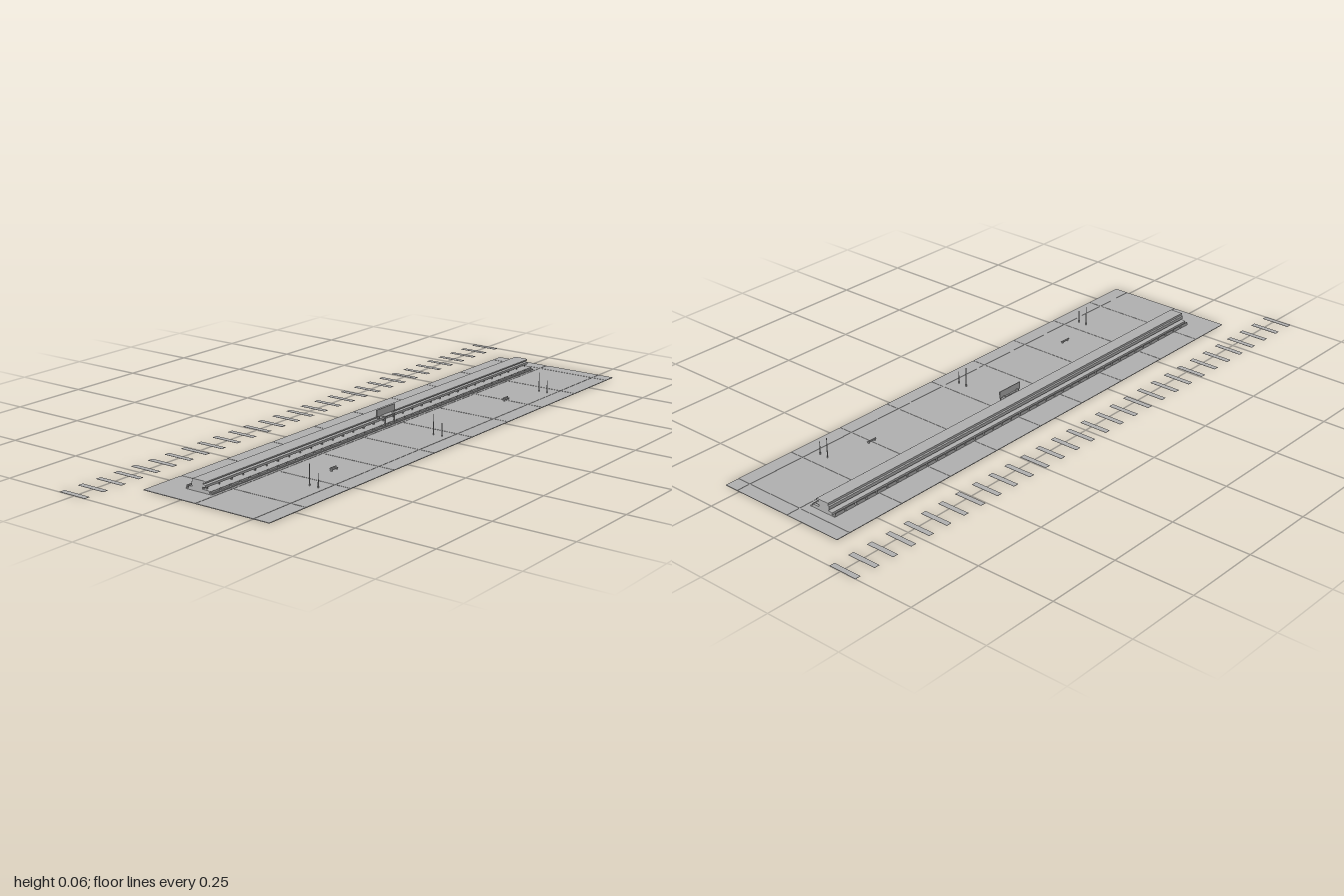
import * as THREE from 'three';

export function createModel() {
  const model = new THREE.Group();
  const concrete = new THREE.MeshStandardMaterial({ color: 0xb2b2b2 });
  concrete.name = 'light grey concrete';

  // Box given by its limits on each axis
  function box(name, x0, x1, y0, y1, z0, z1, parent = model) {
    const mesh = new THREE.Mesh(new THREE.BoxGeometry(x1 - x0, y1 - y0, z1 - z0), concrete);
    mesh.position.set((x0 + x1) / 2, (y0 + y1) / 2, (z0 + z1) / 2);
    mesh.name = name;
    parent.add(mesh);
    return mesh;
  }
  function group(name) {
    const g = new THREE.Group();
    g.name = name;
    model.add(g);
    return g;
  }

  // Plaza: a thin slab with paving fields separated by narrow seams
  box('plazaSlab', -0.855, 0.9, 0, 0.0012, -0.135, 0.305);
  const paving = group('pavingFields');
  const xs = [-0.855, -0.707, -0.516, -0.317, -0.123, 0.07, 0.265, 0.461, 0.656, 0.855, 0.9];
  const zs = [-0.135, 0.055, 0.255, 0.305];
  for (let i = 0; i < xs.length - 1; i++) {
    for (let j = 0; j < zs.length - 1; j++) {
      box('pavingField', xs[i] + (i ? 0.002 : 0), xs[i + 1] - (i < 9 ? 0.002 : 0), 0.0012, 0.002,
        zs[j] + (j ? 0.003 : 0), zs[j + 1] - (j < 2 ? 0.003 : 0), paving);
    }
  }

  // Row of flat strips behind the plaza
  const strips = group('groundStrips');
  for (let i = 0; i < 30; i++) {
    const x = -0.991 + i * 1.982 / 29;
    box('groundStrip', x - 0.009, x + 0.009, 0, 0.0008, -0.305, -0.21, strips);
  }

  // Long building: one stepped cross-section, z then y, run along x
  const left = -0.78, right = 0.825;
  box('buildingPlinth', left, right, 0.002, 0.005, -0.049, 0.044);
  const section = [
    [0.036, 0.004], [0.036, 0.010], [0.031, 0.012], [0.010, 0.012], [0.010, 0.018],
    [0.022, 0.018], [0.022, 0.025], [0.012, 0.027], [0.012, 0.030], [0.021, 0.030],
    [0.021, 0.034], [0.017, 0.036], [-0.025, 0.036], [-0.025, 0.029], [-0.029, 0.027],
    [-0.029, 0.017], [-0.025, 0.014], [-0.040, 0.012], [-0.040, 0.004],
  ];
  const shape = new THREE.Shape(section.map(([z, y]) => new THREE.Vector2(-z, y)));
  const hall = new THREE.Mesh(
    new THREE.ExtrudeGeometry(shape, { depth: right - left, bevelEnabled: false }), concrete);
  hall.rotation.y = Math.PI / 2;
  hall.position.x = left;
  hall.name = 'longBuilding';
  model.add(hall);

  // Columns under the front canopy
  const columns = group('canopyColumns');
  for (let i = 0; i <= 32; i++) {
    const x = left + 0.01 + i * (right - left - 0.02) / 32;
    box('column', x - 0.002, x + 0.002, 0.011, 0.019, 0.016, 0.019, columns);
  }

  // Low rails along the front and back edges, broken into short panels
  const rails = group('rails');
  for (let i = 0; i < 40; i++) {
    const x = left + i * (right - left) / 40;
    box('backRail', x + 0.003, x + 0.037, 0.002, 0.012, -0.0495, -0.0475, rails);
    box('frontRail', x + 0.003, x + 0.037, 0.002, 0.011, 0.0375, 0.0395, rails);
  }

  // Entrance portal and the board above it
  const entrance = group('entrance');
  for (const x of [-0.003, 0.043]) {
    box('portalPost', x - 0.002, x + 0.002, 0.002, 0.037, 0.042, 0.045, entrance);
  }
  box('portalBeam', -0.005, 0.045, 0.034, 0.037, 0.021, 0.045, entrance);
  box('roofBoard', -0.025, 0.066, 0.036, 0.058, 0.026, 0.0285, entrance);
  for (const x of [-0.01, 0.05]) {
    box('boardBracket', x - 0.002, x + 0.002, 0.028, 0.04, 0.019, 0.027, entrance);
  }

  // Pairs of poles on the plaza, one tall and one short
  const poles = group('poles');
  for (const x of [-0.562, 0.022, 0.609]) {
    for (const [z, height] of [[0.202, 0.065], [0.232, 0.043]]) {
      const pole = new THREE.Mesh(new THREE.CylinderGeometry(0.001, 0.0018, height, 8), concrete);
      pole.position.set(x, height / 2, z);
      pole.name = 'pole';
      poles.add(pole);
    }
  }

  // Benches
  for (const x of [-0.418, 0.461]) {
    const bench = group('bench');
    box('seat', x - 0.015, x + 0.015, 0.006, 0.0075, 0.17, 0.176, bench);
    box('backrest', x - 0.015, x + 0.015, 0.0075, 0.012, 0.169, 0.1705, bench);
    for (const side of [-1, 1]) {
      box('leg', x + side * 0.012 - 0.001, x + side * 0.012 + 0.001, 0.002, 0.006, 0.17, 0.176, bench);
    }
  }

  return model;
}
